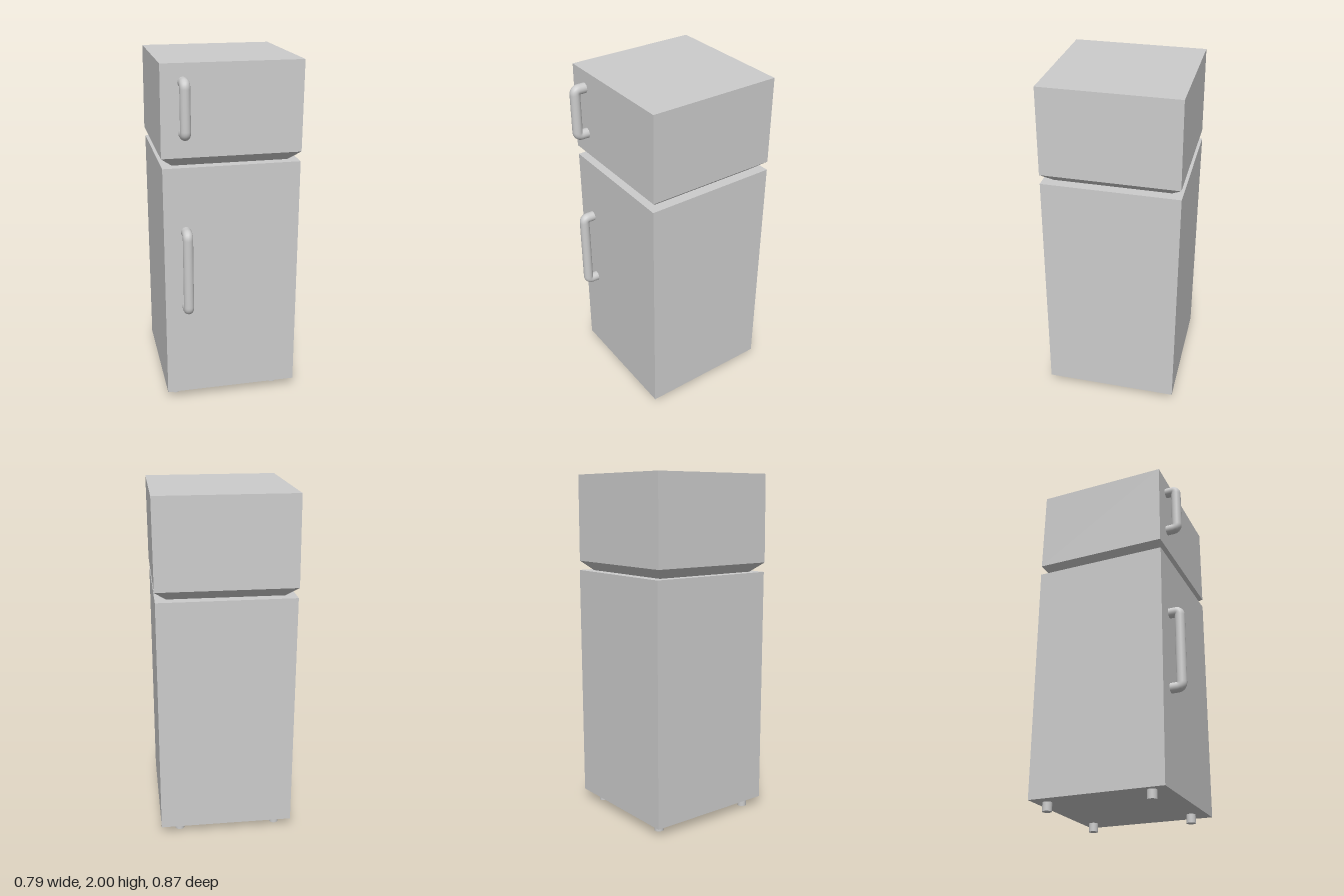
import * as THREE from 'three';

// Pull-handle: round bar with two short arms running back into the door
function makeHandle(name, x, yLow, yHigh, material) {
  const radius = 0.029, bend = 0.025, back = 0.33, out = 0.406;
  const low = yLow + radius, high = yHigh - radius;
  const p = (y, z) => new THREE.Vector3(x, y, z);
  const path = new THREE.CurvePath();
  path.add(new THREE.LineCurve3(p(high, back), p(high, out - bend)));
  path.add(new THREE.QuadraticBezierCurve3(p(high, out - bend), p(high, out), p(high - bend, out)));
  path.add(new THREE.LineCurve3(p(high - bend, out), p(low + bend, out)));
  path.add(new THREE.QuadraticBezierCurve3(p(low + bend, out), p(low, out), p(low, out - bend)));
  path.add(new THREE.LineCurve3(p(low, out - bend), p(low, back)));
  const mesh = new THREE.Mesh(new THREE.TubeGeometry(path, 120, radius, 16), material);
  mesh.name = name;
  return mesh;
}

export function createModel() {
  const model = new THREE.Group();
  model.name = 'refrigerator';
  const grey = new THREE.MeshStandardMaterial({ color: 0xcccccc });
  grey.name = 'light grey';

  // Main cabinet
  const lower = new THREE.Mesh(new THREE.BoxGeometry(0.775, 1.39, 0.78), grey);
  lower.name = 'lowerCabinet';
  lower.position.set(-0.0025, 0.745, -0.045);
  model.add(lower);

  // Freezer box, its underside tapering in to a narrow neck
  const rows = [ // y, xMin, xMax, zMin, zMax
    [1.44, -0.33, 0.323, -0.373, 0.285],
    [1.495, -0.395, 0.388, -0.431, 0.345],
    [2.0, -0.39, 0.391, -0.426, 0.343],
  ];
  const box = new THREE.BoxGeometry(2, 2, 2, 1, 2, 1).toNonIndexed();
  const pos = box.attributes.position;
  for (let i = 0; i < pos.count; i++) {
    const [y, x0, x1, z0, z1] = rows[Math.round(pos.getY(i)) + 1];
    pos.setXYZ(i, pos.getX(i) < 0 ? x0 : x1, y, pos.getZ(i) < 0 ? z0 : z1);
  }
  box.computeVertexNormals();
  const upper = new THREE.Mesh(box, grey);
  upper.name = 'freezerCabinet';
  model.add(upper);

  // Door handles
  model.add(makeHandle('freezerHandle', -0.27, 1.6, 1.93, grey));
  model.add(makeHandle('lowerHandle', -0.266, 0.585, 1.1, grey));

  // Feet
  const footGeometry = new THREE.CylinderGeometry(0.027, 0.027, 0.06, 20);
  const feet = { frontRightFoot: [-0.333, 0.253], frontLeftFoot: [0.273, 0.253],
    backRightFoot: [-0.302, -0.365], backLeftFoot: [0.273, -0.365] };
  for (const [name, [x, z]] of Object.entries(feet)) {
    const foot = new THREE.Mesh(footGeometry, grey);
    foot.name = name;
    foot.position.set(x, 0.03, z);
    model.add(foot);
  }
  return model;
}
